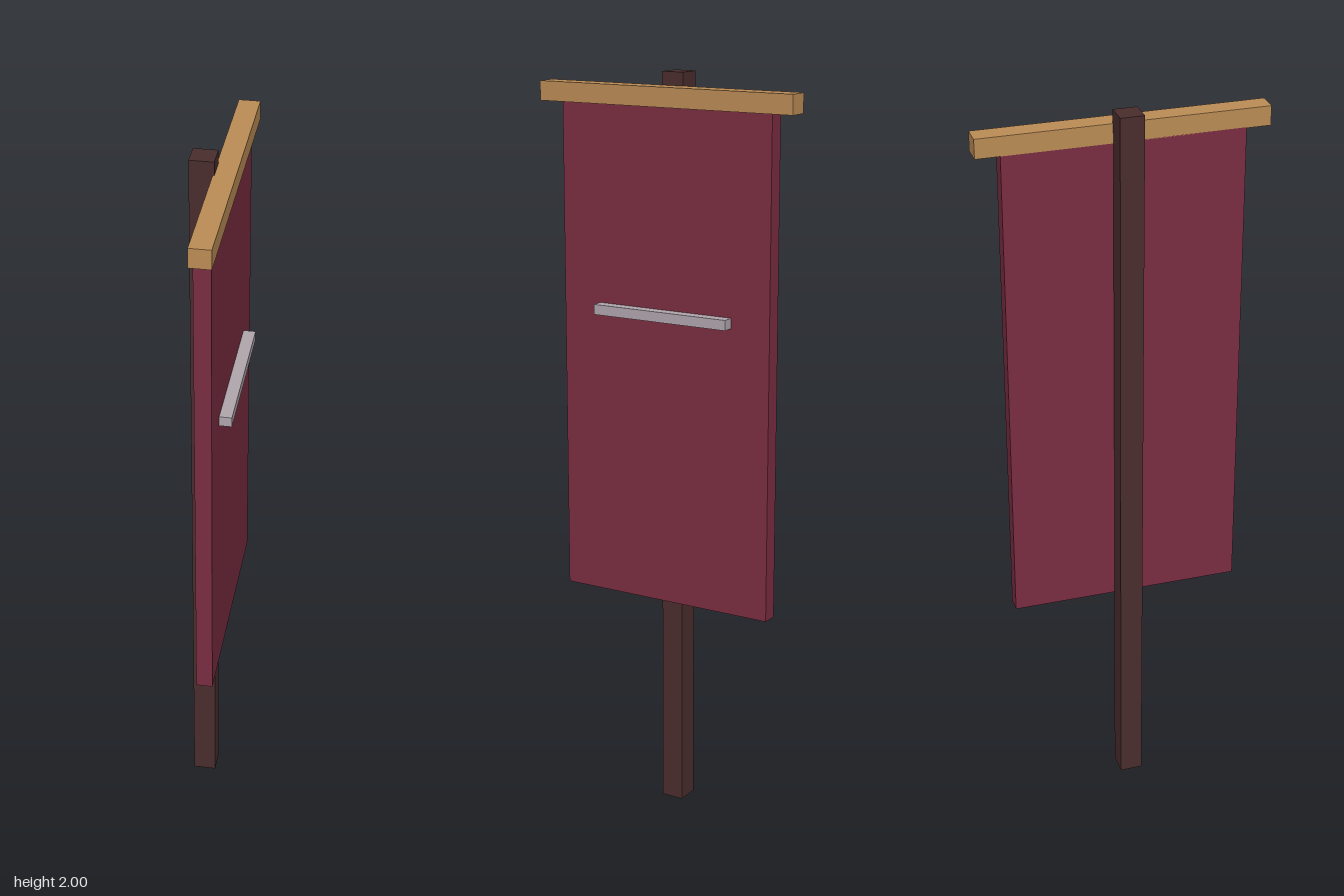
import * as THREE from 'three';

const material = (name, color) => {
  const m = new THREE.MeshStandardMaterial({ color });
  m.name = name;
  return m;
};

// Box given by its lower and upper limits in x and y, and its half width in z
function addBox(group, name, mat, [x0, x1], [y0, y1], halfZ) {
  const mesh = new THREE.Mesh(new THREE.BoxGeometry(x1 - x0, y1 - y0, halfZ * 2), mat);
  mesh.position.set((x0 + x1) / 2, (y0 + y1) / 2, 0);
  mesh.name = name;
  group.add(mesh);
}

export function createModel() {
  const group = new THREE.Group();
  group.name = 'banner';

  const darkWood = material('dark wood', 0x4a2d2d);
  const lightWood = material('light wood', 0xbb8c55);
  const cloth = material('crimson cloth', 0x7a2d41);
  const silver = material('pale silver', 0xb0a6ad);

  // Upright and the bar the cloth hangs from
  addBox(group, 'pole', darkWood, [-0.067, -0.005], [0, 2], 0.031);
  addBox(group, 'crossbar', lightWood, [-0.009, 0.046], [1.914, 1.965], 0.375);

  // Hanging cloth with a raised stripe on its +x face
  addBox(group, 'bannerCloth', cloth, [-0.009, 0.034], [0.592, 1.916], 0.312);
  addBox(group, 'stripe', silver, [0.03, 0.066], [1.365, 1.392], 0.2);

  return group;
}
